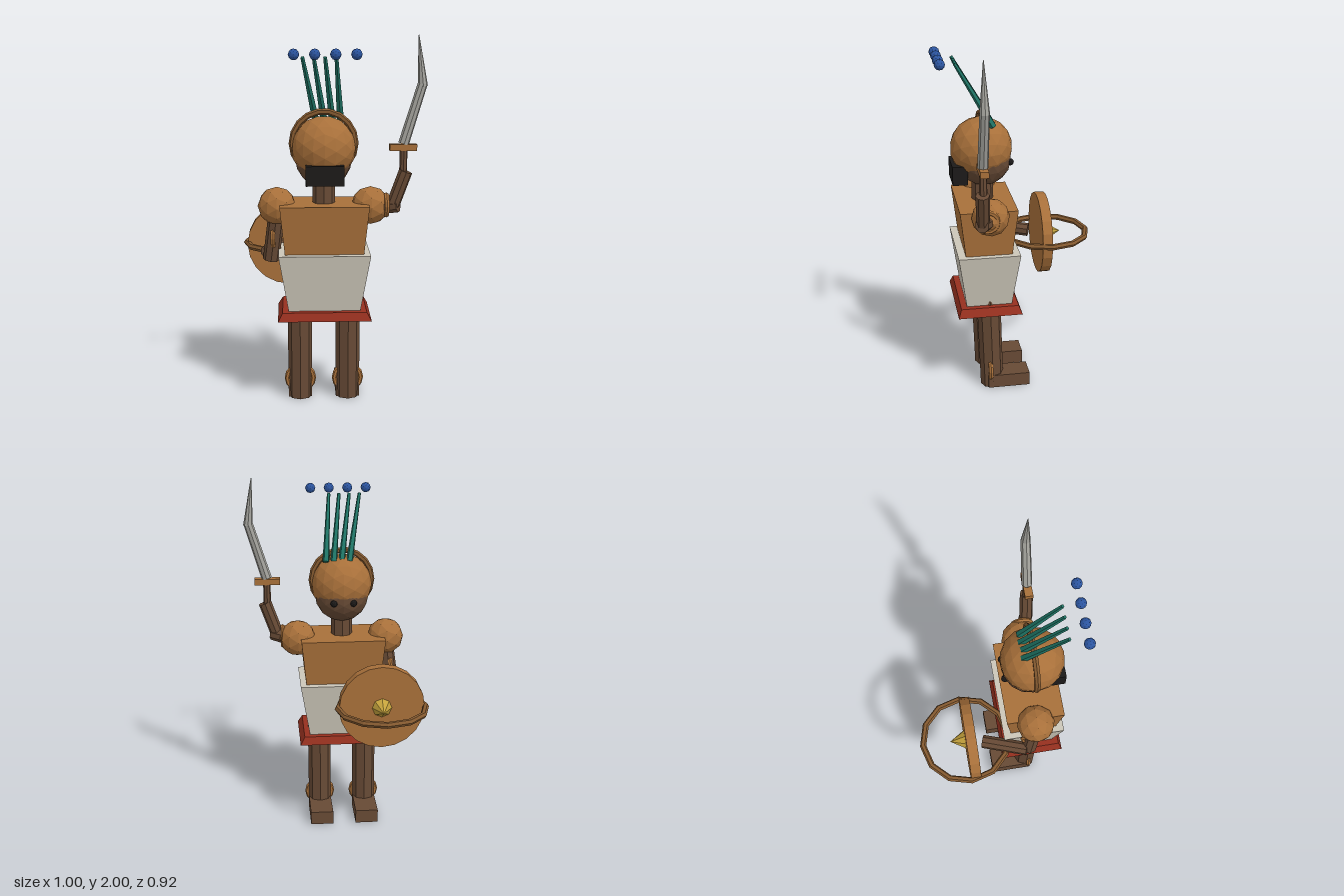
import * as THREE from 'three';

const mat = (color) => new THREE.MeshStandardMaterial({ color, flatShading: true });
const M = {
  bronze: mat(0xa8703a), trim: mat(0x855a30), skin: mat(0x674a35), cloth: mat(0xccc6b8),
  red: mat(0x96301f), green: mat(0x1f7566), blue: mat(0x2c55a0), gold: mat(0xc4a23c),
  steel: mat(0xa5a49e), black: mat(0x1c1a19),
};
const V = (x, y, z) => new THREE.Vector3(x, y, z);
const CX = -0.047, CZ = 0.193; // body axis

export function createModel() {
  const root = new THREE.Group();

  const add = (name, geo, material, x = 0, y = 0, z = 0) => {
    const m = new THREE.Mesh(geo, material);
    m.name = name;
    m.position.set(x, y, z);
    root.add(m);
    return m;
  };
  const ball = (name, r, detail, material, x, y, z) =>
    add(name, new THREE.IcosahedronGeometry(r, detail), material, x, y, z);
  const box = (name, w, h, d, material, x, y, z) =>
    add(name, new THREE.BoxGeometry(w, h, d), material, x, y, z);
  // Tapered rod between two points
  const rod = (name, a, b, ra, rb, material, sides = 8) => {
    const dir = b.clone().sub(a);
    const m = add(name, new THREE.CylinderGeometry(rb, ra, dir.length(), sides), material);
    m.position.copy(a).add(b).multiplyScalar(0.5);
    m.quaternion.setFromUnitVectors(V(0, 1, 0), dir.normalize());
    return m;
  };
  const ring = (name, R, tube, material, x, y, z, segments = 14) =>
    add(name, new THREE.TorusGeometry(R, tube, 6, segments), material, x, y, z);
  // Box whose bottom has its own width and depth
  const taperedBox = (name, top, bottom, y0, y1, material) => {
    const geo = new THREE.BoxGeometry(1, y1 - y0, 1);
    const p = geo.attributes.position;
    for (let i = 0; i < p.count; i++) {
      const [w, d] = p.getY(i) > 0 ? top : bottom;
      p.setXYZ(i, p.getX(i) * w, p.getY(i), p.getZ(i) * d);
    }
    return add(name, geo, material, CX, (y0 + y1) / 2, CZ);
  };

  // Torso and kilt
  taperedBox('torso', [0.476, 0.318], [0.42, 0.255], 0.83, 1.11, M.bronze);
  taperedBox('kilt', [0.492, 0.344], [0.386, 0.254], 0.53, 0.847, M.cloth);

  // Hem: four-sided sloping frame
  const hemProfile = [[1, 0], [0.9, 0.045], [0.7, 0.045], [0.8, 0], [1, 0]]
    .map(([r, y]) => new THREE.Vector2(r, y));
  const hem = new THREE.LatheGeometry(hemProfile, 4);
  hem.rotateY(Math.PI / 4);
  hem.scale(0.2515 * Math.SQRT2, 1, 0.18 * Math.SQRT2);
  add('hem', hem, M.red, CX, 0.49, CZ);

  // Legs, feet and anklets
  for (const s of [-1, 1]) {
    const x = CX + s * 0.132;
    rod('leg', V(x, 0, 0.175), V(x, 0.56, 0.19), 0.066, 0.068, M.skin);
    box('foot', 0.131, 0.078, 0.24, M.skin, x, 0.039, 0.083);
    ring('anklet', 0.074, 0.014, M.bronze, x, 0.108, 0.19);
  }

  // Head, helmet and helmet band
  rod('neck', V(CX, 1.09, 0.2), V(CX, 1.26, 0.2), 0.06, 0.06, M.skin);
  ball('head', 0.153, 2, M.skin, CX, 1.346, 0.19);
  ball('helmet', 0.172, 2, M.bronze, CX, 1.405, 0.203);
  ring('helmetBand', 0.17, 0.017, M.trim, CX, 1.43, 0.2, 18);
  box('neckGuard', 0.202, 0.105, 0.083, M.black, -0.045, 1.278, 0.332);
  for (const s of [-1, 1]) ball('eye', 0.02, 1, M.black, CX + s * 0.055, 1.33, 0.05);

  // Swept plumes with floating beads
  for (let i = 0; i < 4; i++) {
    rod('plume', V(-0.087 + i * 0.044, 1.545, 0.146), V(-0.16 + i * 0.058, 1.89, 0.345),
      0.02, 0.01, M.green, 5);
    ball('bead', 0.029, 1, M.blue, -0.205 + i * 0.106, 1.908, 0.432);
  }

  // Shoulders
  for (const s of [-1, 1]) ball('shoulder', 0.104, 1, M.bronze, CX + s * 0.253, 1.09, 0.19);

  // Shield arm
  rod('shieldUpperArm', V(-0.3, 1.06, 0.19), V(-0.335, 0.785, 0.155), 0.045, 0.045, M.skin);
  rod('shieldForearm', V(-0.358, 0.823, 0.14), V(-0.268, 0.805, -0.1), 0.038, 0.038, M.skin);
  const armlet = ring('shieldArmlet', 0.053, 0.014, M.bronze, -0.323, 0.915, 0.172);
  armlet.rotation.y = Math.PI / 2;

  // Shield: disc, boss and horizontal hoop
  const disc = add('shieldDisc', new THREE.CylinderGeometry(0.238, 0.238, 0.057, 20), M.bronze,
    -0.238, 0.8, -0.17);
  disc.rotation.x = Math.PI / 2;
  rod('shieldBoss', V(-0.238, 0.8, -0.195), V(-0.238, 0.8, -0.284), 0.057, 0, M.gold);
  const hoop = ring('shieldHoop', 0.244, 0.018, M.trim, -0.238, 0.8, -0.196, 12);
  hoop.rotation.x = Math.PI / 2;

  // Sword arm
  rod('swordUpperArm', V(0.21, 1.08, 0.19), V(0.35, 1.1, 0.255), 0.045, 0.038, M.skin);
  rod('swordForearm', V(0.322, 1.1, 0.245), V(0.388, 1.285, 0.255), 0.037, 0.037, M.skin);
  const swordArmlet = ring('swordArmlet', 0.054, 0.014, M.bronze, 0.29, 1.095, 0.215);
  swordArmlet.rotation.y = Math.PI / 2;

  // Sword: grip, guard and bent blade
  rod('swordGrip', V(0.375, 1.2, 0.25), V(0.375, 1.4, 0.25), 0.021, 0.021, M.skin);
  box('swordGuard', 0.145, 0.034, 0.045, M.bronze, 0.373, 1.413, 0.25);
  rod('lowerBlade', V(0.375, 1.432, 0.25), V(0.472, 1.75, 0.25), 0.029, 0.026, M.steel);
  rod('upperBlade', V(0.472, 1.735, 0.25), V(0.447, 2.0, 0.25), 0.027, 0.002, M.steel);

  return root;
}
